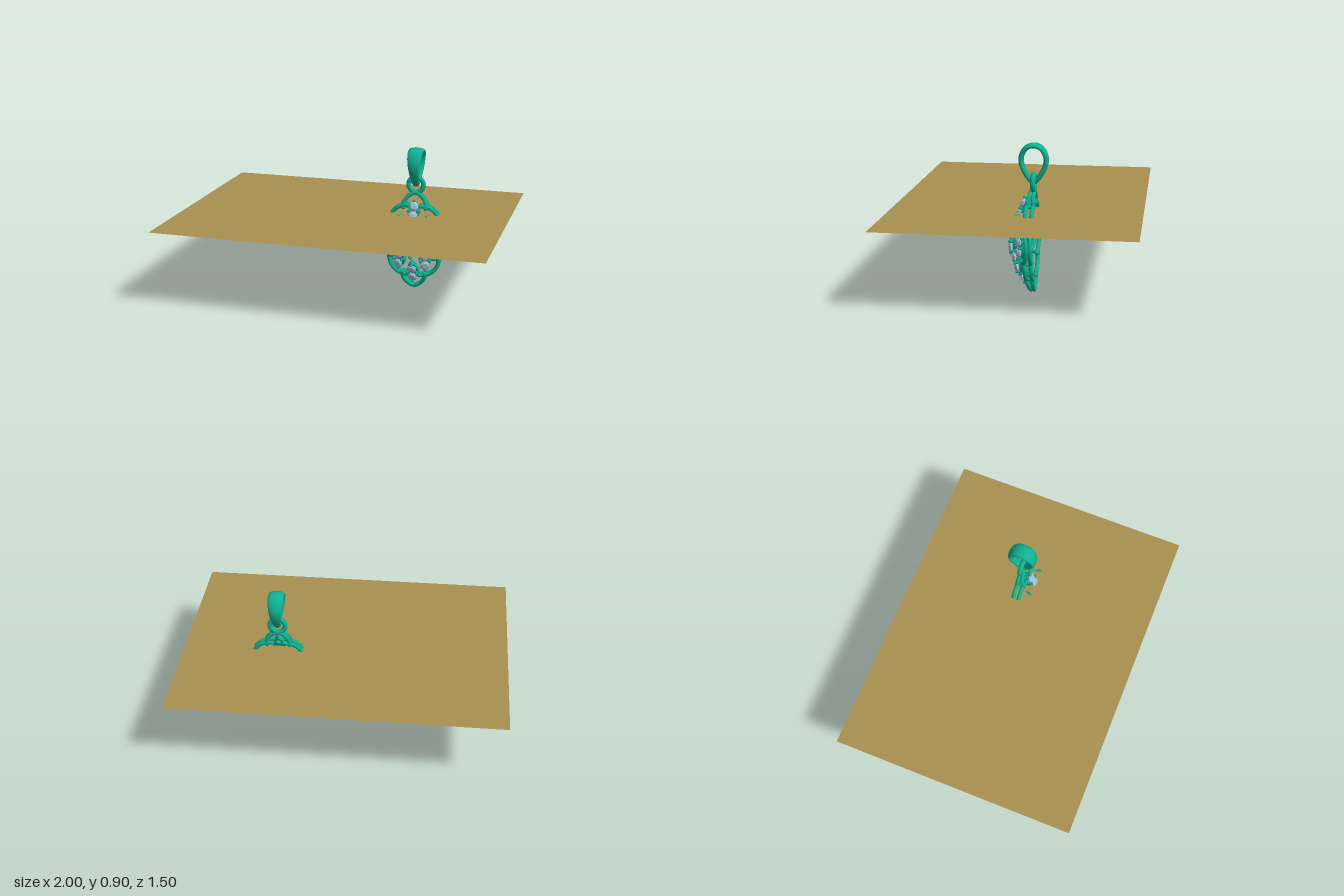
import * as THREE from 'three';
import { mergeVertices } from 'three/addons/utils/BufferGeometryUtils.js';

const green = new THREE.MeshStandardMaterial({ color: 0x10b090 });
const stone = new THREE.MeshStandardMaterial({ color: 0xa9bcd8, flatShading: true });
const tan = new THREE.MeshStandardMaterial({ color: 0xa89050, side: THREE.DoubleSide });

function add(parent, name, geometry, material) {
  const mesh = new THREE.Mesh(geometry, material);
  mesh.name = name;
  parent.add(mesh);
  return mesh;
}

// normalised squared distance from the middle, used for the dome
const dome = (x, y) => (x / 0.24) ** 2 + (y / 0.31) ** 2;
const railZ = (x, y) => -0.03 - 0.066 * dome(x, y);
const BACK_Z = -0.11;

function arc(cx, cy, r, a0, a1) {
  return Array.from({ length: 17 }, (_, i) => {
    const a = THREE.MathUtils.degToRad(a0 + (a1 - a0) * i / 16);
    return [cx + r * Math.cos(a), cy + r * Math.sin(a)];
  });
}

// one lobe of the frame: a domed front rail over a flat back rail
function addLobe(parent, name, points, sx, sy) {
  const rail = (depth) => new THREE.TubeGeometry(new THREE.CatmullRomCurve3(
    points.map(([x, y]) => new THREE.Vector3(x * sx, y * sy, depth(x, y)))), 36, 0.0125, 8);
  add(parent, name + 'FrontRail', rail(railZ), green);
  add(parent, name + 'BackRail', rail(() => BACK_Z), green);
  // closed ends
  for (const [x, y] of [points[0], points[points.length - 1]]) {
    for (const z of [railZ(x, y), BACK_Z]) {
      add(parent, name + 'End', new THREE.SphereGeometry(0.0125, 8, 6), green).position.set(x * sx, y * sy, z);
    }
  }
}

// pointed oval plate with two round openings
function cradleGeometry(w, h, gap, hole, depth) {
  const shape = new THREE.Shape();
  shape.moveTo(0, -h);
  shape.quadraticCurveTo(2 * w, 0, 0, h);
  shape.quadraticCurveTo(-2 * w, 0, 0, -h);
  for (const s of [1, -1]) {
    shape.holes.push(new THREE.Path().absarc(0, s * gap, hole, 0, Math.PI * 2, true));
  }
  return new THREE.ExtrudeGeometry(shape, { depth, bevelEnabled: false, curveSegments: 14 });
}

// faceted round gem facing +z
function gemGeometry(r) {
  const profile = [[0, -0.75], [0.97, -0.05], [1, 0.05], [0.58, 0.4], [0, 0.4]]
    .map(([x, y]) => new THREE.Vector2(x * r, y * r));
  return new THREE.LatheGeometry(profile, 8, Math.PI / 8).rotateX(Math.PI / 2);
}

// a pair of gems held in a pointed cradle, leaning with the dome
function addSetting(parent, x, y, k) {
  const setting = new THREE.Group();
  setting.name = 'gemSetting';
  const w = 0.038 * k, h = 0.073 * k, gap = 0.031 * k, r = 0.032 * k;
  add(setting, 'cradle', cradleGeometry(w, h, gap, 0.018 * k, 0.03), green).position.z = -0.035;
  for (const s of [1, -1]) {
    add(setting, 'gem', gemGeometry(r), stone).position.set(0, s * gap, 0.008);
    const prongs = [[0, s * h * 0.88], [s * w * 0.78, 0]];
    for (const [px, py] of prongs) {
      const prong = add(setting, 'prong', new THREE.CapsuleGeometry(0.0085 * k, 0.035, 3, 8), green);
      prong.rotation.x = Math.PI / 2;
      prong.position.set(px, py, -0.004);
    }
  }
  setting.position.set(x, y, 0.018 - 0.14 * dome(x, y));
  const normal = new THREE.Vector3(0.2 * x / 0.0576, 0.2 * y / 0.0961, 1).normalize();
  setting.quaternion.setFromUnitVectors(new THREE.Vector3(0, 0, 1), normal);
  parent.add(setting);
}

// tapering teardrop loop: a round tube widened in x towards its top
function bailGeometry() {
  const half = [[0.045, 0.883], [0.072, 0.835], [0.07, 0.785], [0.045, 0.73], [0.018, 0.694]];
  const loop = [[0, 0.9], ...half, [0, 0.682], ...half.map(([z, y]) => [-z, y]).reverse()];
  const curve = new THREE.CatmullRomCurve3(loop.map(([z, y]) => new THREE.Vector3(0, y, z)), true);
  let geometry = new THREE.TubeGeometry(curve, 80, 0.0155, 14, true);
  const p = geometry.attributes.position;
  for (let i = 0; i < p.count; i++) {
    const t = THREE.MathUtils.clamp((p.getY(i) - 0.67) / 0.22, 0, 1);
    p.setX(i, p.getX(i) * (1.3 + 1.8 * t));
  }
  geometry.deleteAttribute('uv');
  geometry.deleteAttribute('normal');
  geometry = mergeVertices(geometry);
  geometry.computeVertexNormals();
  return geometry;
}

export function createModel() {
  const model = new THREE.Group();

  // flat ground sheet crossing the pendant
  const sheet = add(model, 'flatSheet', new THREE.PlaneGeometry(2, 1.5), tan);
  sheet.rotation.x = -Math.PI / 2;
  sheet.position.y = 0.5;

  // pendant body, built around its middle
  const body = new THREE.Group();
  body.name = 'pendantBody';
  body.position.set(0.414, 0.327, 0);
  model.add(body);

  const sideLobe = arc(0.12, 0, 0.107, -102, 102);
  const diagonalLobe = arc(0.051, 0.118, 0.107, -6, 98);
  const halfTip = [[0.07, 0.212], [0.069, 0.245], [0.042, 0.283]];
  const tipLobe = [...halfTip, [0, 0.304], ...halfTip.map(([x, y]) => [-x, y]).reverse()];

  for (const s of [1, -1]) {
    addLobe(body, 'sideLobe', sideLobe, s, 1);
    addLobe(body, 'tipLobe', tipLobe, 1, s);
    for (const t of [1, -1]) {
      addLobe(body, 'diagonalLobe', diagonalLobe, s, t);
      // posts joining the front and back rails
      for (const [x, y] of [[0.07, 0.22], [0.148, 0.108]]) {
        const front = railZ(x, y);
        const post = add(body, 'post', new THREE.CylinderGeometry(0.011, 0.011, front - BACK_Z, 8), green);
        post.rotation.x = Math.PI / 2;
        post.position.set(x * s, y * t, (front + BACK_Z) / 2);
      }
      addSetting(body, s * 0.085, t * 0.107, 1);
    }
    addSetting(body, s * 0.16, 0, 1);
    addSetting(body, 0, s * 0.198, 1);
  }
  addSetting(body, 0, 0, 1.28);

  // hanging ring and bail
  add(model, 'hangingRing', new THREE.TorusGeometry(0.047, 0.0155, 10, 36), green)
    .position.set(0.414, 0.68, -0.105);
  add(model, 'bail', bailGeometry(), green).position.set(0.414, 0, -0.105);

  return model;
}
